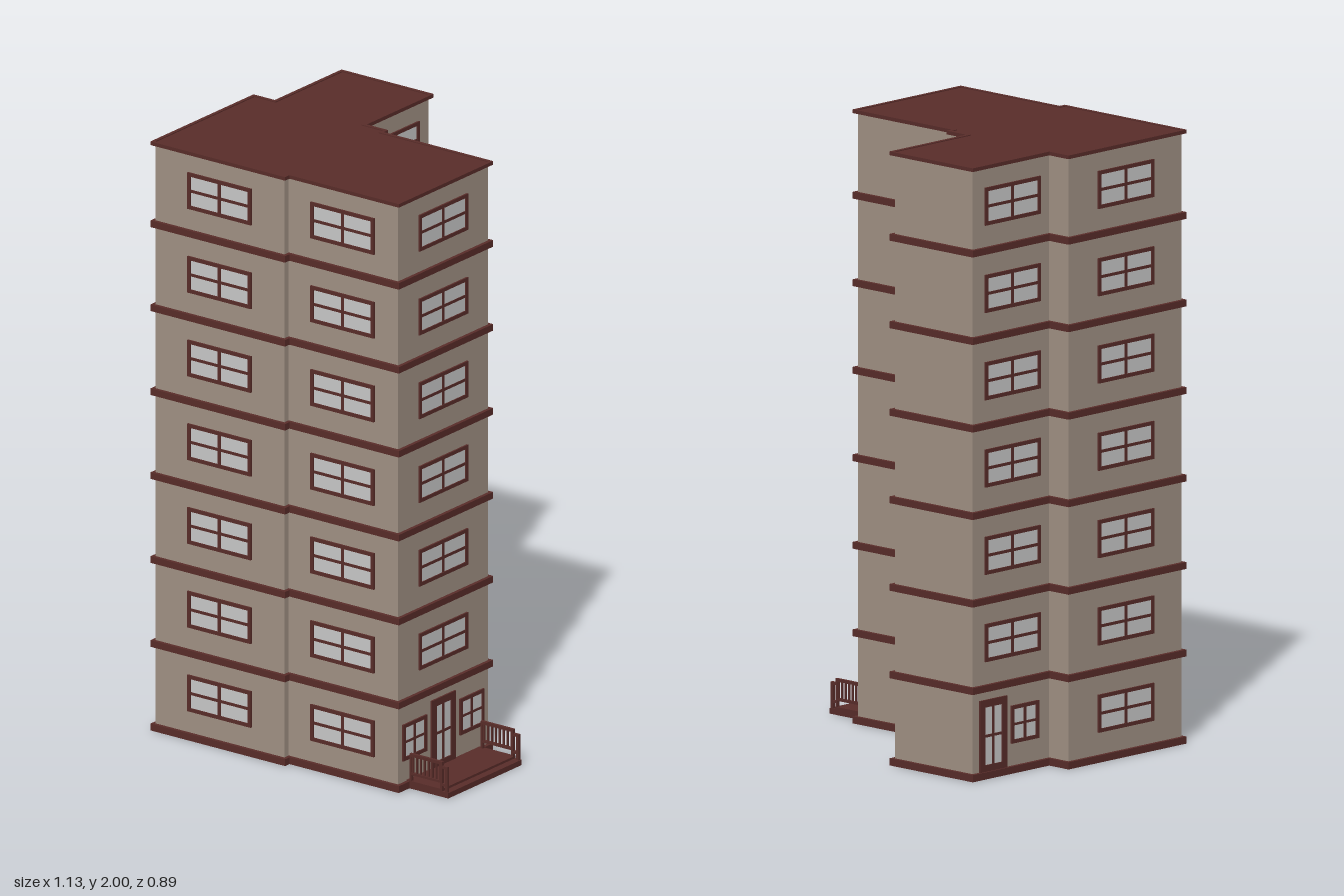
import * as THREE from 'three';

const wallMat = new THREE.MeshStandardMaterial({ color: 0xa39386 });
const trimMat = new THREE.MeshStandardMaterial({ color: 0x5a2d2a });
const glassMat = new THREE.MeshStandardMaterial({ color: 0xcccccc });

const FLOORS = 7, STOREY = 0.2845, INSET = 0.012, WALL = 0.01;

// Footprint corners: x, z, then the inward direction in x and z
const PLAN = [
  [-0.565, 0.443, 1, -1], [-0.027, 0.443, -1, -1], [-0.027, 0.42, -1, -1], [0.41, 0.42, -1, -1],
  [0.41, -0.075, -1, 1], [-0.027, -0.075, -1, 1], [-0.027, -0.098, -1, 1], [-0.112, -0.098, -1, 1],
  [-0.112, -0.448, -1, 1], [-0.48, -0.448, 1, 1], [-0.48, -0.098, 1, 1], [-0.565, -0.098, 1, 1],
];
const outline = (d) => PLAN.map(([x, z, sx, sz]) => new THREE.Vector2(x + sx * d, -(z + sz * d)));

// Upright prism on the footprint, inset by d; hollow when a hole inset is given
function prism(name, mat, y0, y1, d, holeInset) {
  const shape = new THREE.Shape(outline(d));
  if (holeInset !== undefined) shape.holes.push(new THREE.Path(outline(holeInset)));
  const geo = new THREE.ExtrudeGeometry(shape, { depth: y1 - y0, bevelEnabled: false });
  geo.rotateX(-Math.PI / 2).translate(0, y0, 0);
  const mesh = new THREE.Mesh(geo, mat);
  mesh.name = name;
  return mesh;
}

function box(parent, name, mat, w, h, d, x, y, z) {
  const mesh = new THREE.Mesh(new THREE.BoxGeometry(w, h, d), mat);
  mesh.position.set(x, y, z);
  mesh.name = name;
  parent.add(mesh);
}

// Framed pane with a cross of glazing bars; local +z points out of the wall
function opening(name, w, h, frame, bar) {
  const g = new THREE.Group();
  g.name = name;
  box(g, 'glass', glassMat, w - frame, h - frame, WALL + 0.004, 0, 0, -WALL / 2);
  for (const s of [-1, 1]) {
    box(g, 'frameSide', trimMat, frame, h, 0.012, s * (w - frame) / 2, 0, 0);
    box(g, 'frameRail', trimMat, w - 2 * frame, frame, 0.012, 0, s * (h - frame) / 2, 0);
  }
  box(g, 'uprightBar', trimMat, bar, h - 2 * frame, 0.008, 0, 0, 0);
  box(g, 'crossBar', trimMat, w - 2 * frame, bar * 0.8, 0.008, 0, 0, 0);
  return g;
}

export function createModel() {
  const model = new THREE.Group();
  model.name = 'apartmentTower';

  // Hollow walls, open base ring, bands between storeys and the roof
  model.add(prism('walls', wallMat, 0.01, 1.992, INSET, INSET + WALL));
  model.add(prism('baseBand', trimMat, 0.004, 0.027, 0, INSET + WALL));
  for (let i = 1; i < FLOORS; i++) {
    const y = 0.014 + i * STOREY;
    model.add(prism('storeyBand', trimMat, y - 0.011, y + 0.011, 0));
  }
  model.add(prism('roofRim', trimMat, 1.988, 2, 0, INSET));
  model.add(prism('roof', trimMat, 1.988, 1.997, INSET));

  const place = (part, x, y, z, turn) => {
    part.position.set(x, y, z);
    part.rotation.y = turn;
    model.add(part);
  };
  const R = Math.PI / 2;
  const rightX = 0.41 - INSET, wingLeftX = -0.48 + INSET;

  // Wide windows: x, z, turn, first floor that has one
  const columns = [
    [-0.296, 0.443 - INSET, 0, 0], [0.178, 0.42 - INSET, 0, 0],
    [rightX, 0.175, R, 1], [-0.112 - INSET, -0.256, R, 0],
    [-0.565 + INSET, 0.175, -R, 0], [wingLeftX, -0.256, -R, 1],
  ];
  for (const [x, z, turn, first] of columns) {
    for (let i = first; i < FLOORS; i++) {
      place(opening('window', 0.254, 0.123, 0.012, 0.012), x, 0.161 + i * 0.2838, z, turn);
    }
  }

  // Ground floor doors with small windows beside them
  const door = () => opening('door', 0.124, 0.236, 0.024, 0.011);
  const smallWindow = () => opening('smallWindow', 0.125, 0.123, 0.012, 0.01);
  place(door(), rightX, 0.142, 0.175, R);
  place(smallWindow(), rightX, 0.161, 0.325, R);
  place(smallWindow(), rightX, 0.161, 0.025, R);
  place(door(), wingLeftX, 0.142, -0.345, -R);
  place(smallWindow(), wingLeftX, 0.161, -0.2, -R);

  // Porch: deck, lower step and a railing at each end
  const porch = new THREE.Group();
  porch.name = 'porch';
  box(porch, 'deck', trimMat, 0.142, 0.026, 0.385, 0.469, 0.017, 0.172);
  box(porch, 'step', trimMat, 0.025, 0.018, 0.385, 0.5525, 0.013, 0.172);
  for (const z of [-0.014, 0.359]) {
    box(porch, 'topRail', trimMat, 0.13, 0.01, 0.01, 0.475, 0.117, z);
    box(porch, 'bottomRail', trimMat, 0.13, 0.008, 0.01, 0.475, 0.054, z);
    for (let i = 0; i < 8; i++) {
      box(porch, 'baluster', trimMat, 0.005, 0.06, 0.006, 0.421 + i * 0.0155, 0.086, z);
    }
    box(porch, 'wallPost', trimMat, 0.008, 0.095, 0.01, 0.414, 0.073, z);
    box(porch, 'innerPost', trimMat, 0.008, 0.095, 0.01, 0.536, 0.073, z);
    box(porch, 'outerPost', trimMat, 0.01, 0.085, 0.01, 0.556, 0.062, z);
    box(porch, 'endRail', trimMat, 0.024, 0.009, 0.01, 0.549, 0.104, z);
    box(porch, 'lowEndRail', trimMat, 0.024, 0.008, 0.01, 0.549, 0.045, z);
  }
  model.add(porch);
  return model;
}
